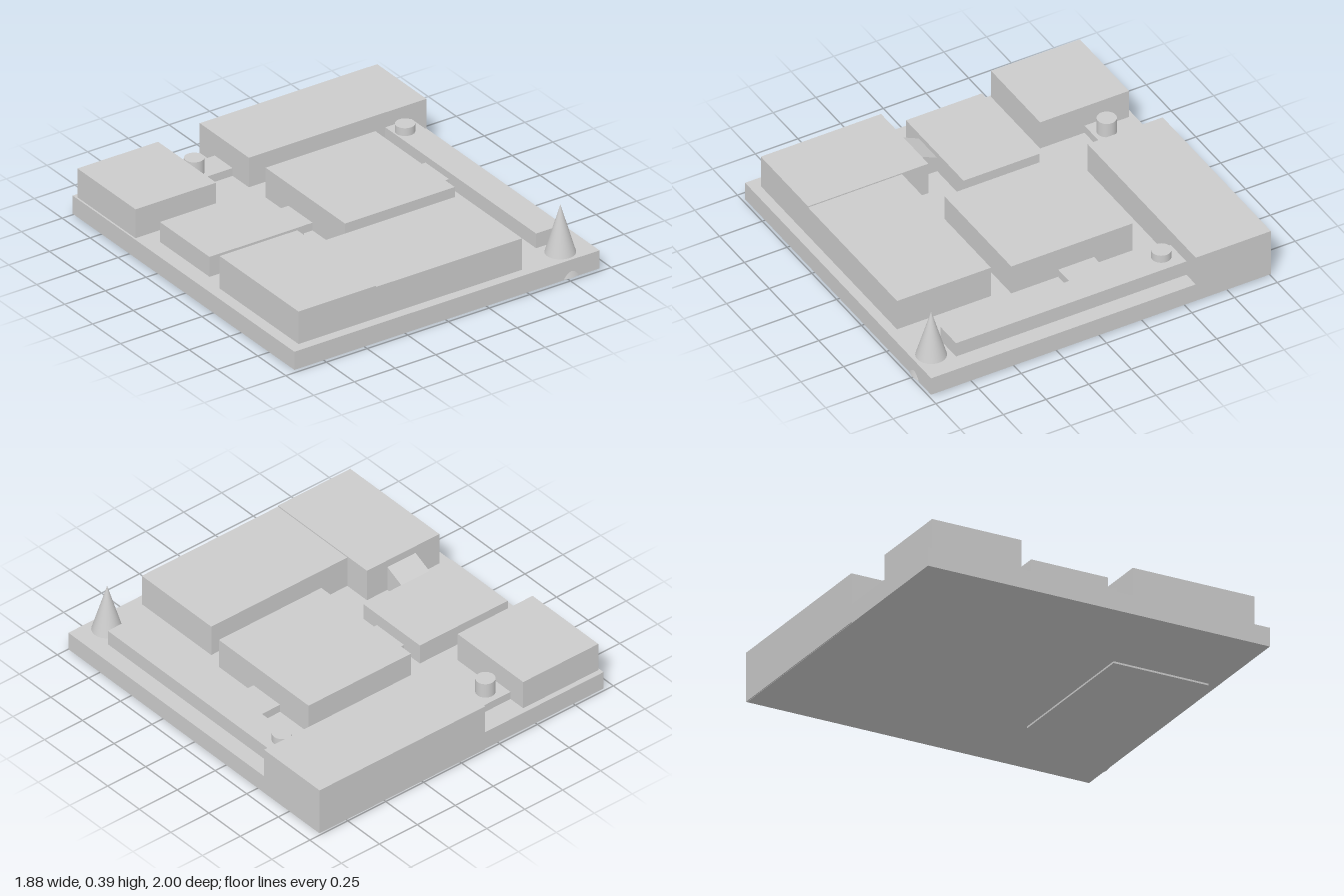
import * as THREE from 'three';

export function createModel() {
  const group = new THREE.Group();
  const grey = new THREE.MeshStandardMaterial({ color: 0xcccccc });

  const add = (name, geometry) => {
    const mesh = new THREE.Mesh(geometry, grey);
    mesh.name = name;
    group.add(mesh);
    return mesh;
  };

  // Box given by its extents along each axis
  const block = (name, x0, x1, y0, y1, z0, z1) =>
    add(name, new THREE.BoxGeometry(x1 - x0, y1 - y0, z1 - z0))
      .position.set((x0 + x1) / 2, (y0 + y1) / 2, (z0 + z1) / 2);

  // Ground slab
  block('baseSlab', -0.94, 0.935, 0.01, 0.115, -0.995, 0.99);

  // Main buildings
  block('backHall', -0.155, 0.936, 0.012, 0.286, -1, -0.56);
  block('backLeftHall', -0.93, -0.435, 0.02, 0.282, -0.965, -0.445);
  block('centreHall', -0.145, 0.53, 0.02, 0.287, -0.425, 0.285);
  block('sideHall', -0.85, -0.27, 0.02, 0.23, -0.345, 0.1);
  block('frontHall', -0.4, 0.497, 0, 0.296, 0.385, 0.935);
  block('frontHallWing', -0.877, -0.4, 0.02, 0.303, 0.23, 0.935);

  // Long gallery and low passages
  block('longGallery', 0.683, 0.842, 0.02, 0.2, -0.56, 0.79);
  block('backPassage', -0.435, -0.155, 0.02, 0.16, -0.865, -0.705);
  block('sidePassage', -0.27, -0.145, 0.02, 0.16, -0.22, -0.005);
  block('galleryPassage', 0.53, 0.683, 0.02, 0.16, -0.2, 0.01);

  // Sloping ramp between the side hall and the front wing (profile in z, y)
  const profile = new THREE.Shape([
    new THREE.Vector2(0.1, 0.1),
    new THREE.Vector2(0.23, 0.1),
    new THREE.Vector2(0.23, 0.26),
    new THREE.Vector2(0.1, 0.2),
  ]);
  const ramp = add('ramp', new THREE.ExtrudeGeometry(profile, { depth: 0.185, bevelEnabled: false }));
  ramp.rotation.y = -Math.PI / 2;
  ramp.position.x = -0.535;

  // Round turrets
  for (const [name, x, z] of [['backTurret', -0.34, -0.78], ['galleryTurret', 0.743, -0.47]]) {
    add(name, new THREE.CylinderGeometry(0.052, 0.052, 0.145, 32)).position.set(x, 0.1725, z);
  }

  // Pointed cone at the front corner, its foot sunk into the slab
  add('cornerCone', new THREE.ConeGeometry(0.11, 0.375, 48)).position.set(0.763, 0.2025, 0.89);

  return group;
}
